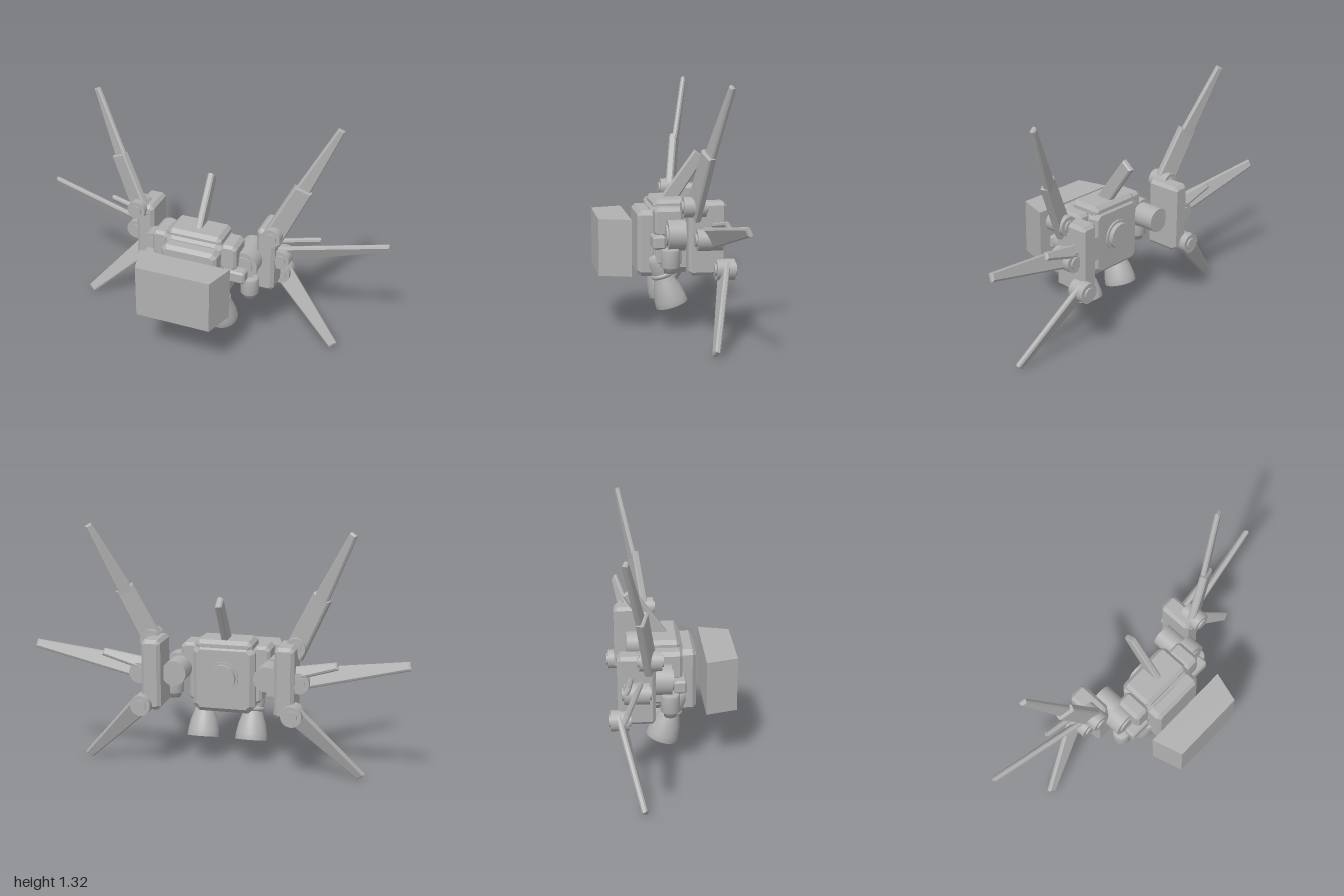
import * as THREE from 'three';

export function createModel() {
  const root = new THREE.Group();
  root.name = 'flightPack';
  const grey = new THREE.MeshStandardMaterial({ color: 0xb0b0b0 });
  grey.name = 'grey';
  const greyOpen = grey.clone();
  greyOpen.side = THREE.DoubleSide;

  const add = (parent, name, geometry, material = grey) => {
    const mesh = new THREE.Mesh(geometry, material);
    mesh.name = name;
    parent.add(mesh);
    return mesh;
  };
  const polygon = (pts) => new THREE.Shape(pts.map(([x, y]) => new THREE.Vector2(x, y)));

  // Extruded outline with chamfered edges, centred on its depth
  const bevelled = (pts, depth, bevel) => {
    const g = new THREE.ExtrudeGeometry(polygon(pts), {
      depth: depth - 2 * bevel, bevelEnabled: true, bevelSize: bevel,
      bevelOffset: -bevel, bevelThickness: bevel, bevelSegments: 1,
    });
    return g.translate(0, 0, -(depth / 2 - bevel));
  };

  // Box between limits, with cut corners and chamfered faces
  const block = (parent, name, x0, x1, y0, y1, z0, z1, cut = 0.02, bevel = 0.012) => {
    const w = (x1 - x0) / 2, h = (y1 - y0) / 2, c = cut;
    const pts = [[-w + c, -h], [w - c, -h], [w, -h + c], [w, h - c], [w - c, h], [-w + c, h], [-w, h - c], [-w, -h + c]];
    const m = add(parent, name, bevelled(pts, z1 - z0, bevel));
    m.position.set((x0 + x1) / 2, (y0 + y1) / 2, (z0 + z1) / 2);
    return m;
  };

  // Cylinder along z between two depths
  const drum = (parent, name, x, y, z0, z1, r) => {
    const m = add(parent, name, new THREE.CylinderGeometry(r, r, z1 - z0, 32).rotateX(Math.PI / 2));
    m.position.set(x, y, (z0 + z1) / 2);
    return m;
  };

  // Tapered blade from a to b, its flat side facing n
  const blade = (parent, name, s, a, b, n, chordA, chordB, thick) => {
    const A = new THREE.Vector3(a[0] * s, a[1], a[2]);
    const B = new THREE.Vector3(b[0] * s, b[1], b[2]);
    const X = B.clone().sub(A);
    const len = X.length();
    X.normalize();
    const Y = new THREE.Vector3(n[0] * s, n[1], n[2]).cross(X).normalize();
    const Z = X.clone().cross(Y);
    const p = chordA / 2, q = chordB / 2;
    const g = bevelled([[0, -p], [len, -q], [len, q], [0, p]], thick, 0.008);
    g.applyMatrix4(new THREE.Matrix4().makeBasis(X, Y, Z).setPosition(A));
    return add(parent, name, g);
  };

  // Front block, narrowing toward the front
  const front = new THREE.ExtrudeGeometry(
    polygon([[-0.26, -0.175], [-0.21, -0.345], [0.21, -0.345], [0.26, -0.175]]),
    { depth: 0.3, bevelEnabled: false });
  add(root, 'frontBlock', front.rotateX(-Math.PI / 2).translate(0, 0.32, 0));

  // Core body
  const body = new THREE.Group();
  body.name = 'body';
  root.add(body);
  block(body, 'core', -0.17, 0.17, 0.31, 0.68, -0.15, 0.06, 0.035, 0.025);
  block(body, 'chestPanel', -0.16, 0.16, 0.295, 0.65, 0.03, 0.13, 0.025, 0.02);
  block(body, 'topPlate', -0.155, 0.155, 0.64, 0.705, -0.14, 0.045, 0.02, 0.02);
  drum(body, 'rearDisc', 0, 0.51, -0.185, -0.14, 0.072);
  drum(body, 'rearDiscRim', 0, 0.51, -0.16, -0.14, 0.085);

  // Swept dorsal fin
  const fin = bevelled([[0.0, 0.68], [0.1, 0.68], [0.255, 0.912], [0.2, 0.955]], 0.036, 0.008);
  add(root, 'dorsalFin', fin.rotateY(Math.PI / 2));

  for (const s of [1, -1]) {
    const side = new THREE.Group();
    side.name = s > 0 ? 'leftSide' : 'rightSide';
    root.add(side);
    const sideBlock = (name, x0, x1, ...rest) =>
      block(side, name, Math.min(s * x0, s * x1), Math.max(s * x0, s * x1), ...rest);

    // Shoulder and swivel hub
    sideBlock('shoulder', 0.15, 0.245, 0.52, 0.675, -0.1, 0.05, 0.02, 0.015);
    sideBlock('sidePanel', 0.15, 0.2, 0.36, 0.54, -0.1, 0.04, 0.015, 0.012);
    drum(side, 'hub', s * 0.265, 0.535, -0.1, -0.01, 0.08);
    drum(side, 'hubFace', s * 0.265, 0.535, -0.02, 0.0, 0.055);
    drum(side, 'hubRear', s * 0.25, 0.535, -0.23, -0.09, 0.067);

    // Small hanging arm
    sideBlock('armBracket', 0.17, 0.3, 0.465, 0.535, 0.0, 0.068, 0.01, 0.01);
    const arm = [[0, 0.345], [0.033, 0.345], [0.036, 0.37], [0.05, 0.375], [0.05, 0.46], [0.042, 0.47], [0, 0.47]];
    add(side, 'hangingArm', new THREE.LatheGeometry(arm.map(([x, y]) => new THREE.Vector2(x, y)), 28))
      .position.set(s * 0.305, 0, -0.02);

    // Wing pod
    sideBlock('wingPod', 0.305, 0.41, 0.345, 0.725, -0.297, -0.1, 0.018, 0.018);

    // Joints: x, y, rear z, front z, radius
    const joints = [
      [0.395, 0.7, -0.185, -0.07, 0.053],
      [0.43, 0.535, -0.265, -0.135, 0.055],
      [0.405, 0.375, -0.335, -0.24, 0.055],
    ];
    for (const [x, y, z0, z1, r] of joints) {
      drum(side, 'wingJoint', s * x, y, z0, z1, r);
      drum(side, 'wingJointPin', s * x, y, z0 - 0.01, z1 + 0.01, r * 0.6);
    }

    // Wing blades
    const up = [0.35, 0, 1];
    blade(side, 'upperWingBase', s, [0.375, 0.65, -0.125], [0.533, 0.98, -0.175], up, 0.115, 0.1, 0.042);
    blade(side, 'upperWing', s, [0.49, 0.89, -0.165], [0.695, 1.318, -0.257], up, 0.09, 0.038, 0.028);
    blade(side, 'middleWing', s, [0.41, 0.54, -0.195], [1.0, 0.67, -0.275], [0.13, -0.45, 1], 0.115, 0.045, 0.028);
    blade(side, 'middleWinglet', s, [0.41, 0.585, -0.24], [0.63, 0.64, -0.255], [0, -0.6, 1], 0.07, 0.04, 0.028);
    blade(side, 'lowerWing', s, [0.4, 0.385, -0.285], [0.755, 0.027, -0.175], [0.35, 0, 1], 0.11, 0.05, 0.03);

    // Tilted thruster with an open bell
    const thruster = new THREE.Group();
    thruster.name = 'thruster';
    thruster.position.set(s * 0.135, 0.14, -0.055);
    thruster.rotation.x = 0.3;
    side.add(thruster);
    const bell = [[0, 0.13], [0.04, 0.12], [0.06, 0.08], [0.078, 0.03], [0.083, 0], [0.088, 0], [0.085, 0.035],
      [0.074, 0.09], [0.06, 0.13], [0.052, 0.16]];
    add(thruster, 'nozzle', new THREE.LatheGeometry(bell.map(([x, y]) => new THREE.Vector2(x, y)), 36), greyOpen);
    add(thruster, 'nozzleRing', new THREE.TorusGeometry(0.05, 0.014, 10, 36).rotateX(Math.PI / 2)).position.y = 0.17;
    const cap = [[0.05, 0.16], [0.06, 0.19], [0.062, 0.25], [0.05, 0.285], [0, 0.295]];
    add(thruster, 'thrusterMount', new THREE.LatheGeometry(cap.map(([x, y]) => new THREE.Vector2(x, y)), 32));
  }
  return root;
}
